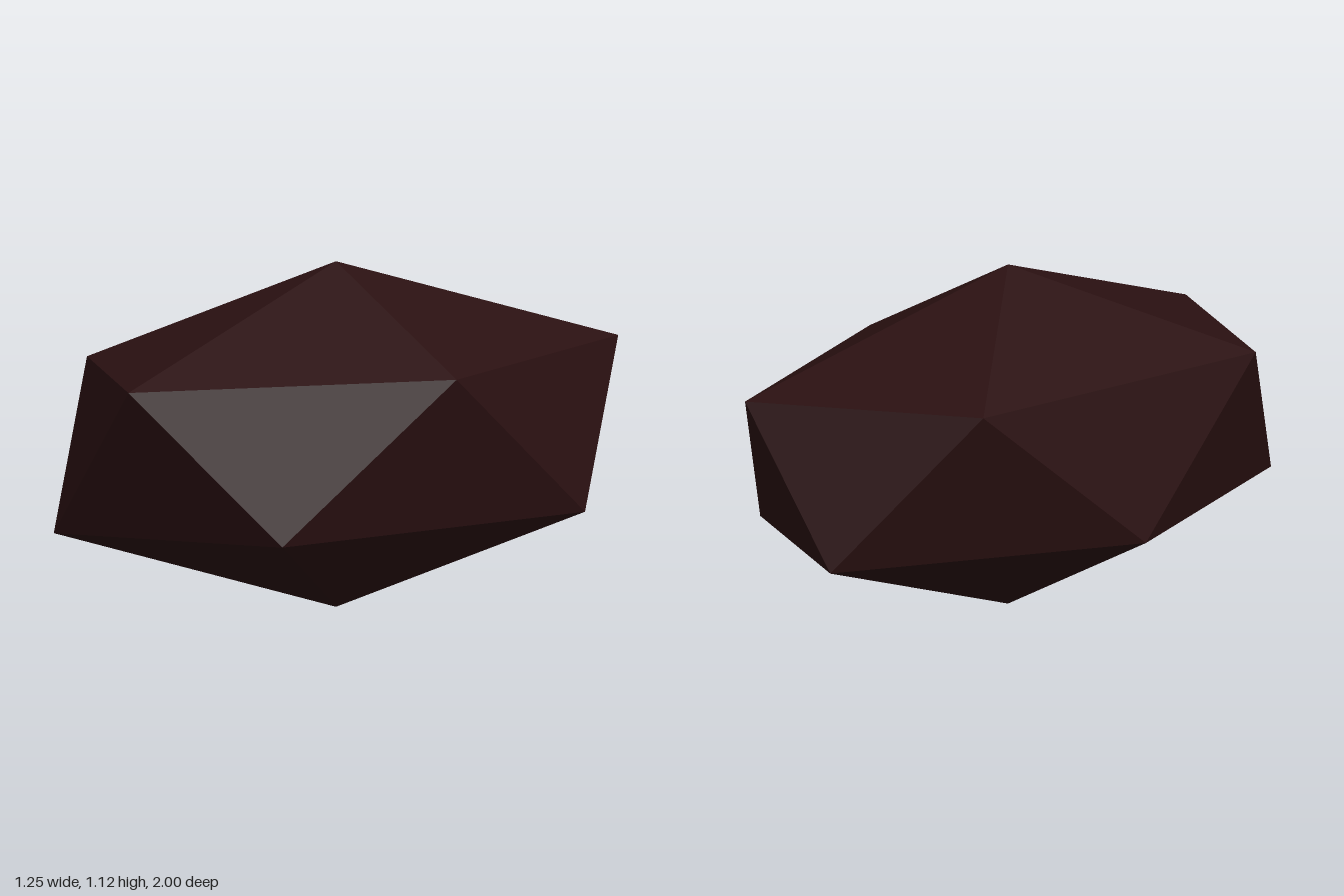
import * as THREE from 'three';

export function createModel() {
  const group = new THREE.Group();
  group.name = 'facetedStone';

  const darkMaroon = new THREE.MeshStandardMaterial({ color: 0x2a1011 });
  darkMaroon.name = 'darkMaroon';

  // Two staggered five-point rings between a top and a bottom point
  const RX = 0.624, RZ = 1.0515, HEIGHT = 1.12;
  const ring = (y, turn) => Array.from({ length: 5 }, (_, i) => {
    const a = (i + turn) * Math.PI * 2 / 5;
    return [RX * Math.cos(a), y, RZ * Math.sin(a)];
  });
  const upper = ring(0.81, 0);
  const lower = ring(0.31, 0.5);
  const top = [0, HEIGHT, 0];
  const bottom = [0, 0, 0];

  // Cap, zigzag band and base facets, with unshared corners for flat faces
  const points = [];
  for (let i = 0; i < 5; i++) {
    const j = (i + 1) % 5;
    points.push(
      top, upper[j], upper[i],
      upper[i], upper[j], lower[i],
      lower[i], upper[j], lower[j],
      bottom, lower[i], lower[j],
    );
  }
  const geometry = new THREE.BufferGeometry();
  geometry.setAttribute('position', new THREE.Float32BufferAttribute(points.flat(), 3));
  geometry.computeVertexNormals();

  const stone = new THREE.Mesh(geometry, darkMaroon);
  stone.name = 'stone';
  group.add(stone);
  return group;
}
